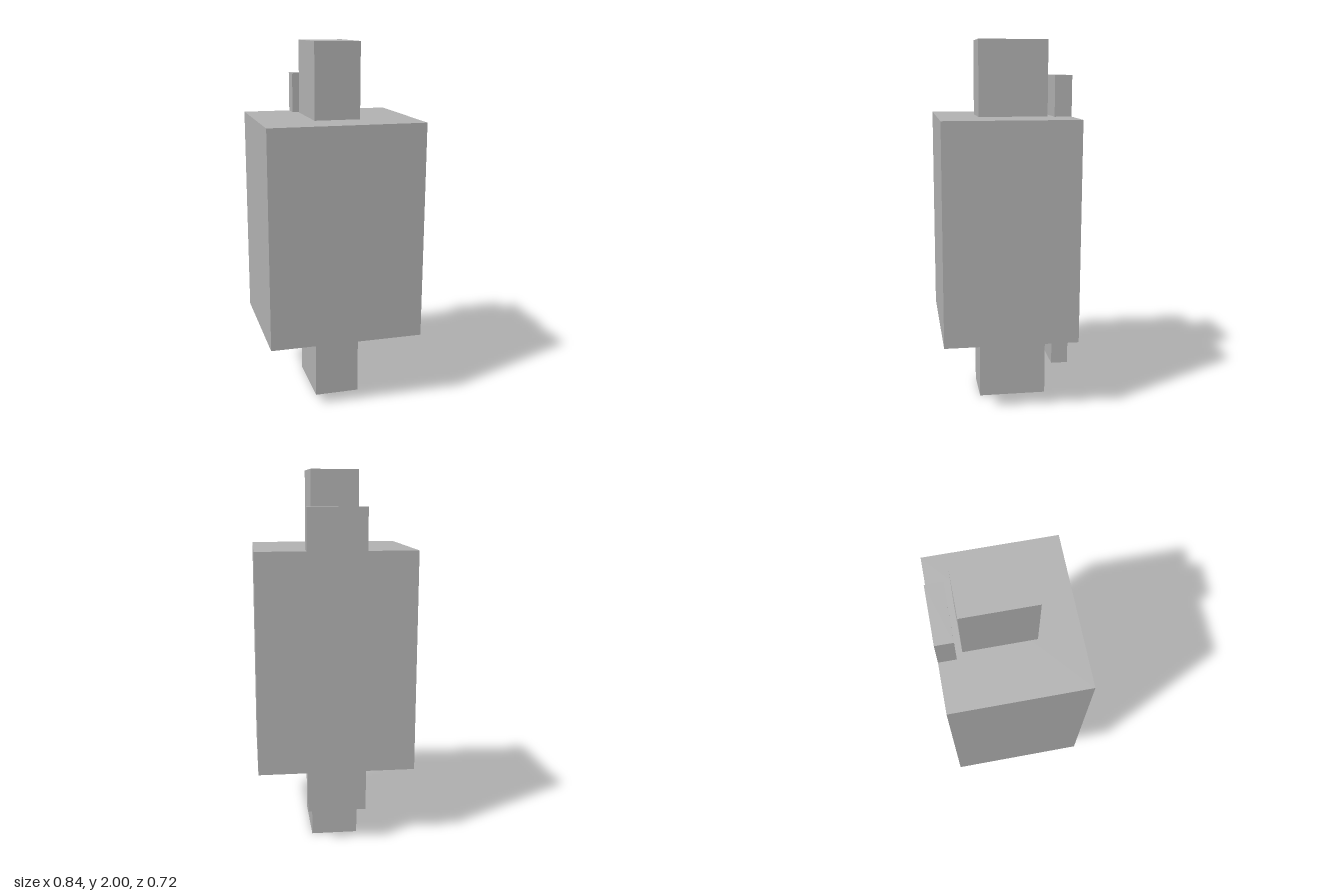
import * as THREE from 'three';

export function createModel() {
  const model = new THREE.Group();
  model.name = 'blockWithTerminals';

  const grey = new THREE.MeshStandardMaterial({ color: 0xb2b2b2 });
  grey.name = 'grey';

  // Box given by its half width and its y and z limits
  function addBox(name, halfWidth, y0, y1, z0, z1) {
    const mesh = new THREE.Mesh(new THREE.BoxGeometry(2 * halfWidth, y1 - y0, z1 - z0), grey);
    mesh.position.set(0, (y0 + y1) / 2, (z0 + z1) / 2);
    mesh.name = name;
    model.add(mesh);
  }

  const bottom = 0.41, top = 1.593;

  // Main block
  addBox('body', 0.422, bottom, top, -0.36, 0.36);

  // Square posts above and below the block
  addBox('upperPost', 0.125, top, 2, -0.235, 0.14);
  addBox('lowerPost', 0.125, 0, bottom, -0.235, 0.14);

  // Thin tabs flush with the back
  addBox('upperTab', 0.157, top, 1.813, -0.36, -0.267);
  addBox('lowerTab', 0.157, 0.19, bottom, -0.36, -0.267);

  return model;
}
